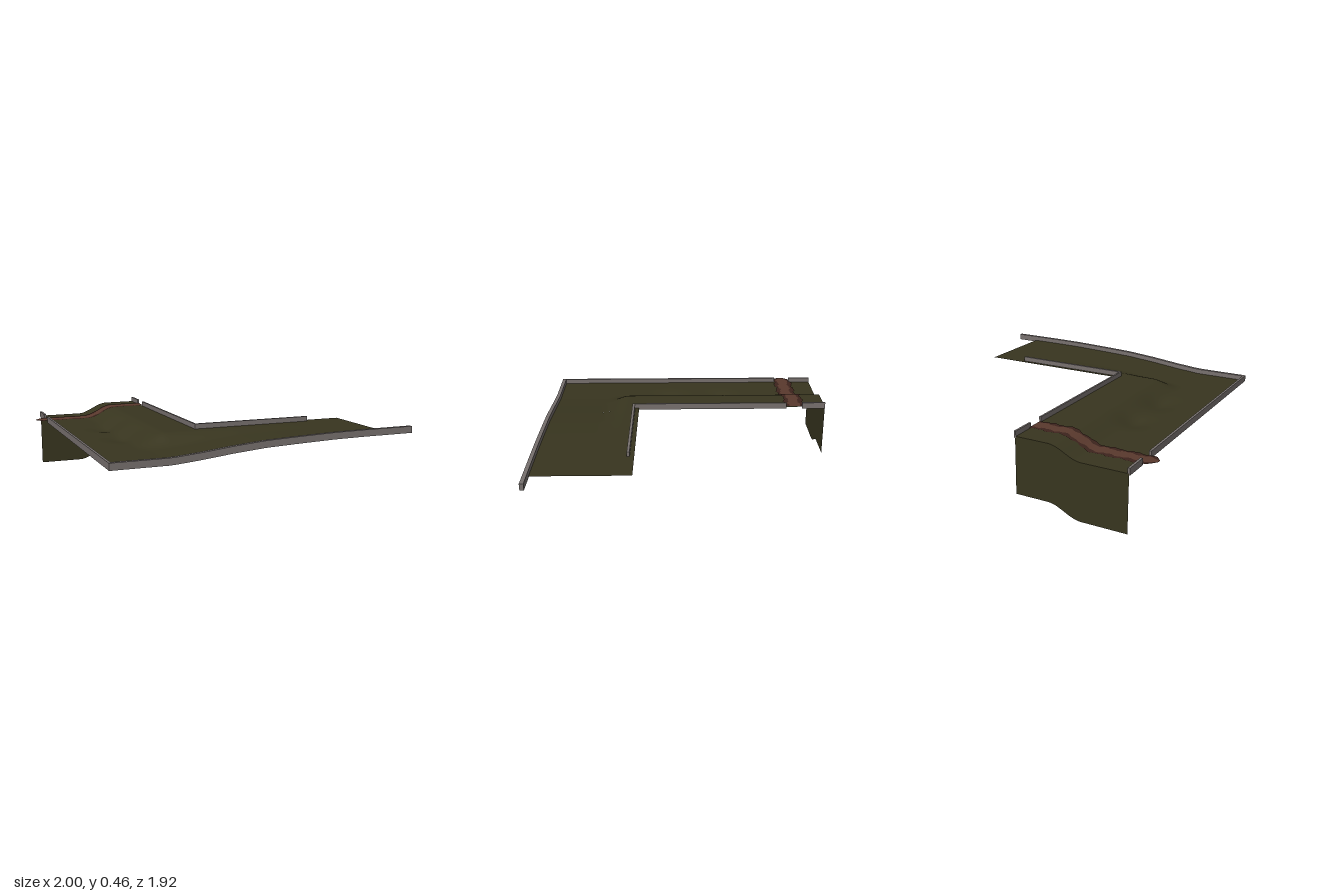
import * as THREE from 'three';

const { smoothstep, lerp } = THREE.MathUtils;
const LOW = 0.358, HIGH = 0.43;

// Height along the front edge: a long gentle ramp
const RAMP = [[-1, LOW], [-0.57, LOW], [-0.4, 0.373], [-0.2, 0.395], [0, 0.412], [0.2, 0.42], [0.45, 0.428], [0.65, HIGH], [1, HIGH]];
function ramp(x) {
  const i = Math.max(1, RAMP.findIndex(p => p[0] >= x));
  const [a, b] = [RAMP[i - 1], RAMP[i]];
  return lerp(a[1], b[1], (x - a[0]) / (b[0] - a[0]));
}

// Ground height: a short bank along the long arm, blending into the front ramp
function ground(x, z) {
  const bank = lerp(LOW, HIGH, smoothstep(x, -0.63, -0.42));
  const dip = (cz, r) => 0.018 * Math.exp(-(((x + 0.62) / 0.09) ** 2) - ((z - cz) / r) ** 2);
  return lerp(bank, ramp(x), smoothstep(z, 0.42, 0.6)) - dip(0.15, 0.12) - dip(-0.24, 0.1);
}

const material = color => new THREE.MeshStandardMaterial({ color, side: THREE.DoubleSide });

export function createModel() {
  const model = new THREE.Group();
  const soil = material(0x38351f), stone = material(0x77706e);
  const clay = material(0x5a392d), darkClay = material(0x3d241d);

  function add(name, geometry, mat) {
    const mesh = new THREE.Mesh(geometry, mat);
    mesh.name = name;
    model.add(mesh);
  }

  // Sheet over a (u, v) grid, each point placed by a rule
  function sheet(nu, nv, place) {
    const g = new THREE.PlaneGeometry(1, 1, nu, nv);
    const p = g.attributes.position, uv = g.attributes.uv;
    for (let i = 0; i < p.count; i++) p.setXYZ(i, ...place(uv.getX(i), 1 - uv.getY(i)));
    g.computeVertexNormals();
    return g;
  }

  // L-shaped ground
  const patch = (x0, x1, z0, z1, nu, nv) => sheet(nu, nv, (u, v) => {
    const x = lerp(x0, x1, u), z = lerp(z0, z1, v);
    return [x, ground(x, z), z];
  });
  add('groundLongArm', patch(-0.92, -0.205, -0.96, 0.945, 40, 90), soil);
  add('groundShortArm', patch(-0.205, 0.845, 0.34, 0.945, 40, 40), soil);

  // Drop wall at the back, its lower edge repeating the ground line
  add('backWall', sheet(40, 1, (u, v) => {
    const x = lerp(-0.92, -0.205, u);
    return [x, ground(x, -0.96) - v * LOW, -0.96];
  }), soil);

  // Kerbs: long boxes whose height follows a rule
  function kerb(name, x0, x1, z0, z1, height) {
    const sx = x1 - x0, sz = z1 - z0;
    const g = new THREE.BoxGeometry(sx, 0.042, sz, sx > sz ? 40 : 1, 1, 1);
    g.translate((x0 + x1) / 2, 0.011, (z0 + z1) / 2);
    const p = g.attributes.position;
    for (let i = 0; i < p.count; i++) p.setY(i, p.getY(i) + height(p.getX(i)));
    g.computeVertexNormals();
    add(name, g, stone);
  }
  kerb('frontKerb', -0.925, 1, 0.937, 0.962, ramp);
  kerb('innerFrontKerb', -0.21, 0.59, 0.368, 0.385, () => HIGH);
  // Side kerbs stop where the path crosses
  for (const [z0, z1, part] of [[-0.96, -0.8, 'Back'], [-0.69, 0.96, 'Main']]) {
    kerb('outerKerb' + part, -0.925, -0.91, z0, z1, () => LOW);
    kerb('innerKerb' + part, -0.21, -0.198, z0, Math.min(z1, 0.385), () => HIGH);
  }

  // Clay path across the long arm, with ragged edges and a ragged tapered end
  const ragged = (x, k) => 0.006 * Math.sin(x * 47 + k * 2) + 0.004 * Math.sin(x * 113 + k * 5);
  function pathStrip(name, zA, zB, lift, mat) {
    const edge = (z, x) => {
      const open = lerp(0.12, 1, smoothstep(x, -1.01, -0.94));
      return -0.735 + (z + 0.735 + ragged(x, z * 30)) * open;
    };
    add(name, sheet(70, 6, (u, v) => {
      const x = lerp(-0.995, -0.205, u);
      const z = lerp(edge(zA, x), edge(zB, x), v);
      return [x, ground(x, -0.96) + lift, z];
    }), mat);
  }
  pathStrip('pathBackEdge', -0.815, -0.785, 0.005, darkClay);
  pathStrip('pathCentre', -0.785, -0.712, 0.005, clay);
  pathStrip('pathFrontEdge', -0.712, -0.685, 0.005, darkClay);

  return model;
}
